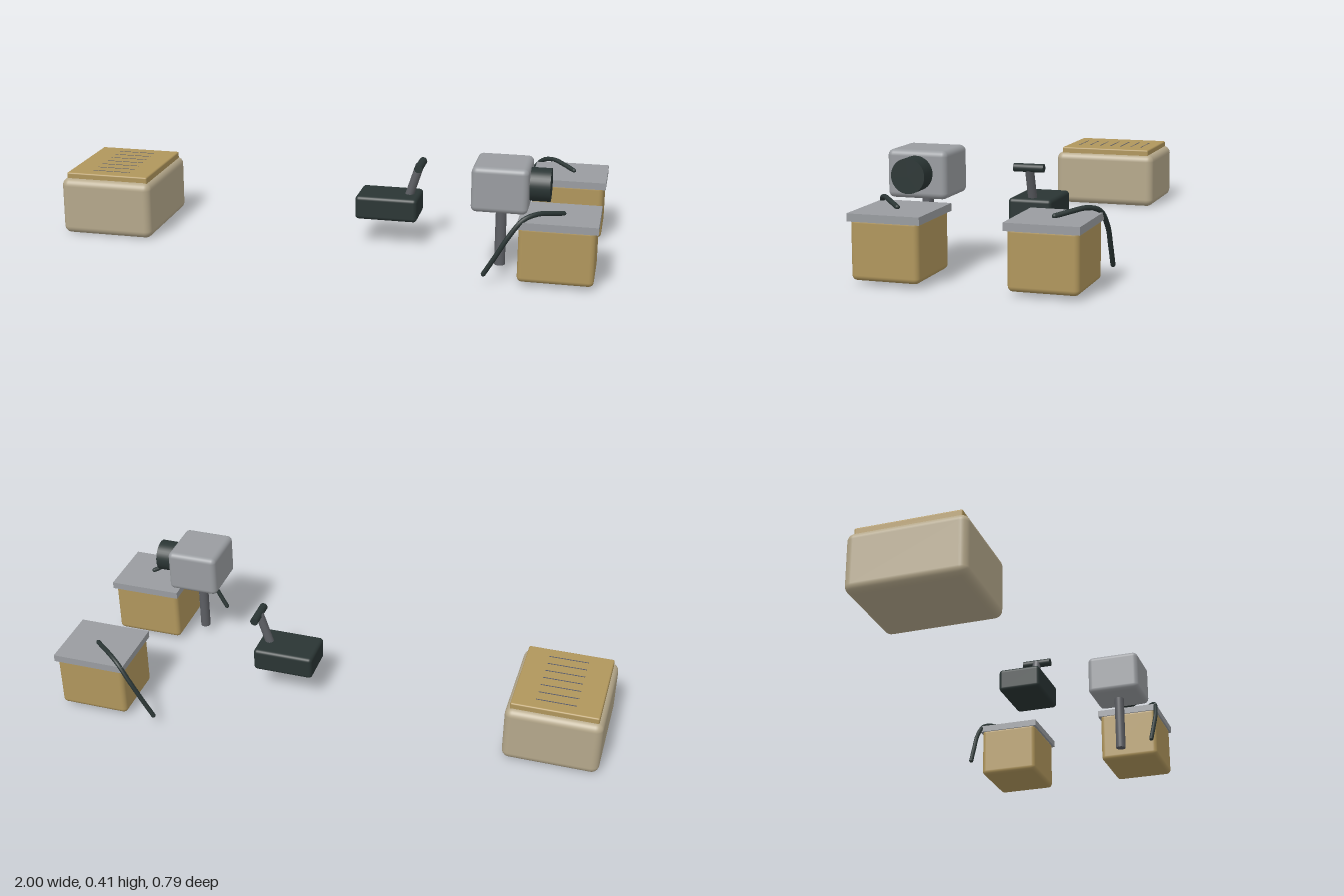
import * as THREE from 'three';
import { RoundedBoxGeometry } from 'three/addons/geometries/RoundedBoxGeometry.js';

function material(name, color) {
  const m = new THREE.MeshStandardMaterial({ color });
  m.name = name;
  return m;
}

export function createModel() {
  const beige = material('beige casing', 0xb5a88b);
  const ochre = material('ochre plastic', 0xb0965c);
  const grey = material('light grey', 0x999ca0);
  const steel = material('dark steel', 0x5c5e63);
  const black = material('green black', 0x2a3534);
  const slate = material('slate vents', 0x55596a);

  const model = new THREE.Group();

  function add(parent, name, geometry, mat, x = 0, y = 0, z = 0) {
    const mesh = new THREE.Mesh(geometry, mat);
    mesh.name = name;
    mesh.position.set(x, y, z);
    parent.add(mesh);
    return mesh;
  }
  function group(name) {
    const g = new THREE.Group();
    g.name = name;
    model.add(g);
    return g;
  }
  const rounded = (w, h, d, r) => new RoundedBoxGeometry(w, h, d, 4, r);

  // Control unit: rounded casing, raised lid and fine vent lines
  const unit = group('controlUnit');
  add(unit, 'casing', rounded(0.35, 0.214, 0.415, 0.028), beige, -0.825, 0.107, 0);
  add(unit, 'lid', rounded(0.316, 0.032, 0.37, 0.006), ochre, -0.824, 0.219, 0);
  for (let i = -3; i <= 3; i++) {
    add(unit, 'vent', new THREE.BoxGeometry(0.145, 0.002, 0.004), slate, -0.822, 0.2345, i * 0.045);
  }

  // Small sensor box with leaning stem and crossbar
  const sensor = group('handleBox');
  add(sensor, 'body', rounded(0.23, 0.088, 0.16, 0.014), black, 0.217, 0.142, 0);
  const stem = add(sensor, 'stem', new THREE.CylinderGeometry(0.016, 0.016, 0.135, 24), steel, 0.309, 0.235, 0);
  stem.rotation.z = -0.31;
  const bar = add(sensor, 'crossbar', new THREE.CylinderGeometry(0.015, 0.015, 0.11, 24), black, 0.332, 0.298, 0);
  bar.rotation.x = Math.PI / 2;

  // Camera-like head on a post, barrel pointing to +x
  const head = group('headOnPost');
  add(head, 'housing', rounded(0.195, 0.16, 0.208, 0.02), grey, 0.659, 0.325, 0.246);
  const barrel = add(head, 'barrel', new THREE.CylinderGeometry(0.058, 0.058, 0.08, 40), black, 0.786, 0.33, 0.247);
  barrel.rotation.z = -Math.PI / 2;
  add(head, 'post', new THREE.CylinderGeometry(0.019, 0.019, 0.225, 24), steel, 0.658, 0.142, 0.247);

  // Two mirrored tanks, each with a flat lid and a bent hose
  for (const s of [1, -1]) {
    const tank = group(s > 0 ? 'frontTank' : 'backTank');
    add(tank, 'tankBody', rounded(0.26, 0.204, 0.232, 0.018), ochre, 0.86, 0.116, s * 0.261);
    add(tank, 'tankLid', new THREE.BoxGeometry(0.272, 0.026, 0.246), grey, 0.862, 0.219, s * 0.26);
    const path = new THREE.CatmullRomCurve3([
      [0.618, 0.038, 0.383], [0.66, 0.11, 0.386], [0.7, 0.18, 0.387],
      [0.745, 0.238, 0.374], [0.79, 0.253, 0.343], [0.832, 0.247, 0.305], [0.873, 0.237, 0.264],
    ].map(([x, y, z]) => new THREE.Vector3(x, y, s * z)));
    add(tank, 'hose', new THREE.TubeGeometry(path, 48, 0.0085, 12), black);
    // Closed hose ends
    for (const t of [0, 1]) {
      const p = path.getPoint(t);
      add(tank, 'hoseEnd', new THREE.SphereGeometry(0.0085, 12, 8), black, p.x, p.y, p.z);
    }
  }

  return model;
}
